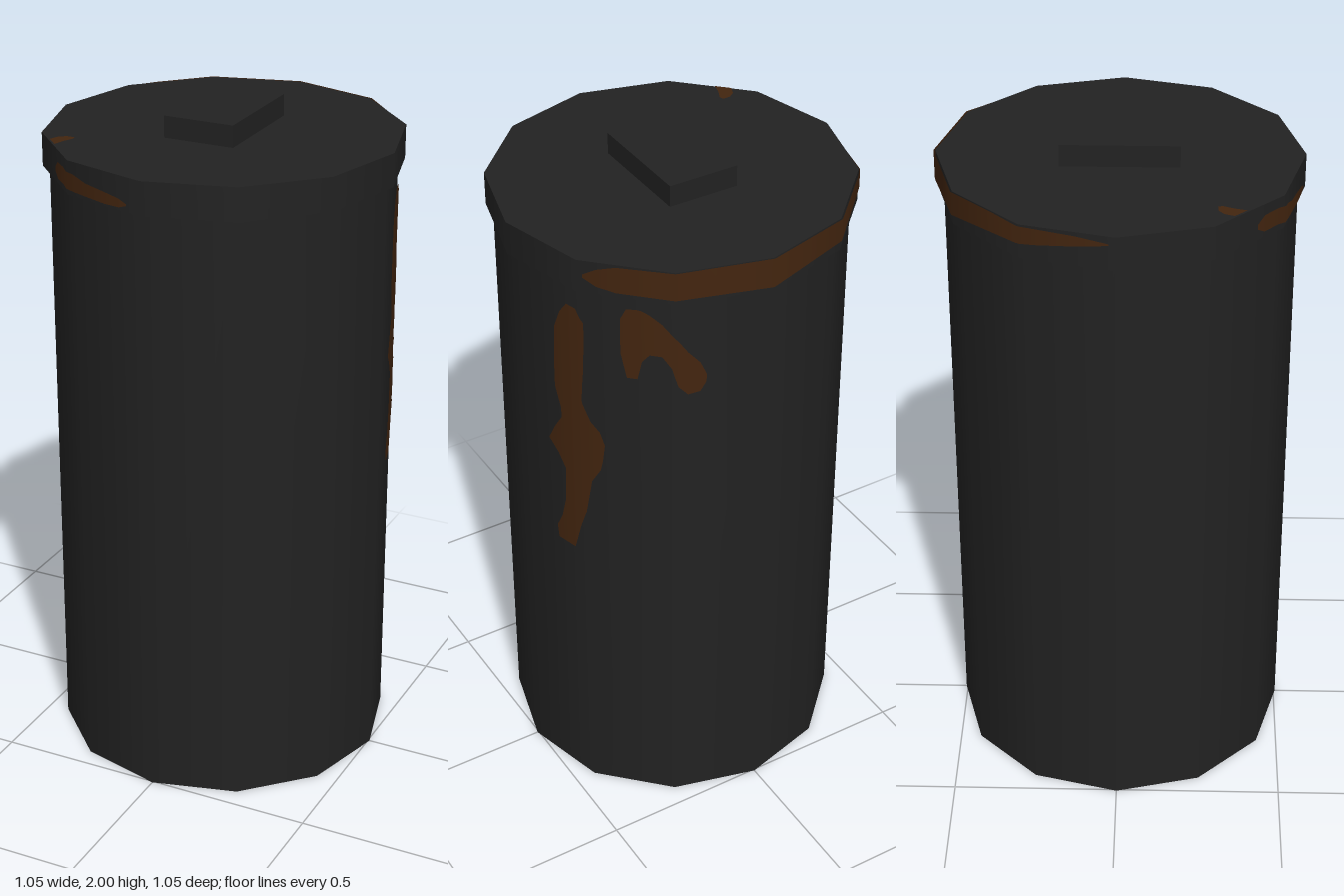
import * as THREE from 'three';

const SIDES = 12;
const BODY_R = 0.505;
const LID_R = 0.525;
const rad = THREE.MathUtils.degToRad;

// Point just outside a 12-sided wall; angle in degrees runs from +x towards -z
function wallPoint(angle, radius) {
  const half = 180 / SIDES;
  const local = (((angle % (2 * half)) + 2 * half) % (2 * half)) - half;
  const r = (radius * Math.cos(rad(half))) / Math.cos(rad(local)) + 0.005;
  return [r * Math.cos(rad(angle)), -r * Math.sin(rad(angle))];
}

// Thin patch hugging the wall, swept through sections [s, from, to];
// place(s, t) turns section coordinates into [angle, y]
function wallPatch(sections, radius, place) {
  const steps = 10, across = 8;
  const positions = [], normals = [], index = [];
  const rows = (sections.length - 1) * steps;
  for (let i = 0; i <= rows; i++) {
    const k = Math.min(Math.floor(i / steps), sections.length - 2);
    const f = i / steps - k;
    const [s, from, to] = sections[k].map((v, n) => THREE.MathUtils.lerp(v, sections[k + 1][n], f));
    for (let j = 0; j <= across; j++) {
      const [angle, y] = place(s, THREE.MathUtils.lerp(from, to, j / across));
      const [x, z] = wallPoint(angle, radius);
      positions.push(x, y, z);
      normals.push(Math.cos(rad(angle)), 0, -Math.sin(rad(angle)));
      if (i < rows && j < across) {
        const a = i * (across + 1) + j, b = a + across + 1;
        index.push(a, b, b + 1, a, b + 1, a + 1);
      }
    }
  }
  const geo = new THREE.BufferGeometry();
  geo.setAttribute('position', new THREE.Float32BufferAttribute(positions, 3));
  geo.setAttribute('normal', new THREE.Float32BufferAttribute(normals, 3));
  geo.setIndex(index);
  return geo;
}

export function createModel() {
  const model = new THREE.Group();
  model.name = 'lidded bin';
  const charcoal = new THREE.MeshStandardMaterial({ color: 0x222222 });
  charcoal.name = 'charcoal';
  const rust = new THREE.MeshStandardMaterial({ color: 0x43250f, side: THREE.DoubleSide });
  rust.name = 'rust brown';

  const add = (name, geometry, material, y = 0) => {
    const mesh = new THREE.Mesh(geometry, material);
    mesh.name = name;
    mesh.position.y = y;
    model.add(mesh);
    return mesh;
  };

  // Bin: body, overhanging lid and a block handle
  add('body', new THREE.CylinderGeometry(BODY_R, BODY_R, 1.84, SIDES), charcoal, 0.92);
  add('lid', new THREE.CylinderGeometry(LID_R, LID_R, 0.1, SIDES), charcoal, 1.88);
  add('handle', new THREE.BoxGeometry(0.216, 0.065, 0.34), charcoal, 1.9675);

  // Long rust streak down the left side: [y, depth from, depth to]
  const streak = [
    [1.757, 0.2, 0.23], [1.72, 0.175, 0.253], [1.66, 0.153, 0.253], [1.55, 0.148, 0.249],
    [1.457, 0.148, 0.243], [1.39, 0.169, 0.264], [1.357, 0.169, 0.285], [1.314, 0.143, 0.296],
    [1.26, 0.117, 0.291], [1.224, 0.153, 0.285], [1.18, 0.18, 0.264], [1.065, 0.175, 0.249],
    [0.996, 0.159, 0.228], [0.95, 0.138, 0.217], [0.907, 0.143, 0.206],
  ];
  const byDepth = (y, depth) => [THREE.MathUtils.radToDeg(Math.asin(depth / 0.494)), y];
  add('longRustStreak', wallPatch(streak, BODY_R, byDepth), rust);

  // Patches as columns: [angle, lower y, upper y]
  const byAngle = (angle, y) => [angle, y];
  const hook = [
    [42.5, 1.64, 1.75], [44.5, 1.56, 1.785], [48, 1.56, 1.787], [49.5, 1.62, 1.785],
    [52, 1.645, 1.775], [56, 1.645, 1.75], [59, 1.61, 1.72], [61, 1.55, 1.7],
    [64, 1.52, 1.66], [68, 1.525, 1.62], [70, 1.555, 1.58],
  ];
  add('hookedRustStain', wallPatch(hook, BODY_R, byAngle), rust);

  const backRim = [
    [32, 1.88, 1.89], [36, 1.857, 1.91], [42, 1.845, 1.925], [60, 1.845, 1.93],
    [90, 1.84, 1.93], [105, 1.85, 1.93], [120, 1.86, 1.93], [140, 1.87, 1.93],
    [155, 1.877, 1.925], [168, 1.89, 1.92], [178, 1.905, 1.91],
  ];
  add('backRimRust', wallPatch(backRim, LID_R, byAngle), rust);

  const frontRim = [
    [228, 1.865, 1.88], [231, 1.85, 1.9], [237, 1.853, 1.903], [243, 1.845, 1.895],
    [248, 1.842, 1.88], [256, 1.838, 1.872], [262, 1.84, 1.865], [265, 1.85, 1.855],
  ];
  add('frontRimRust', wallPatch(frontRim, LID_R, byAngle), rust);

  // Small stain on top of the lid edge
  const spot = new THREE.Shape([
    [-0.397, -0.316], [-0.362, -0.351], [-0.352, -0.315], [-0.338, -0.285],
    [-0.342, -0.272], [-0.366, -0.273], [-0.386, -0.288],
  ].map(([x, y]) => new THREE.Vector2(x, y)));
  add('lidTopRust', new THREE.ShapeGeometry(spot).rotateX(-Math.PI / 2), rust, 1.933);

  return model;
}
